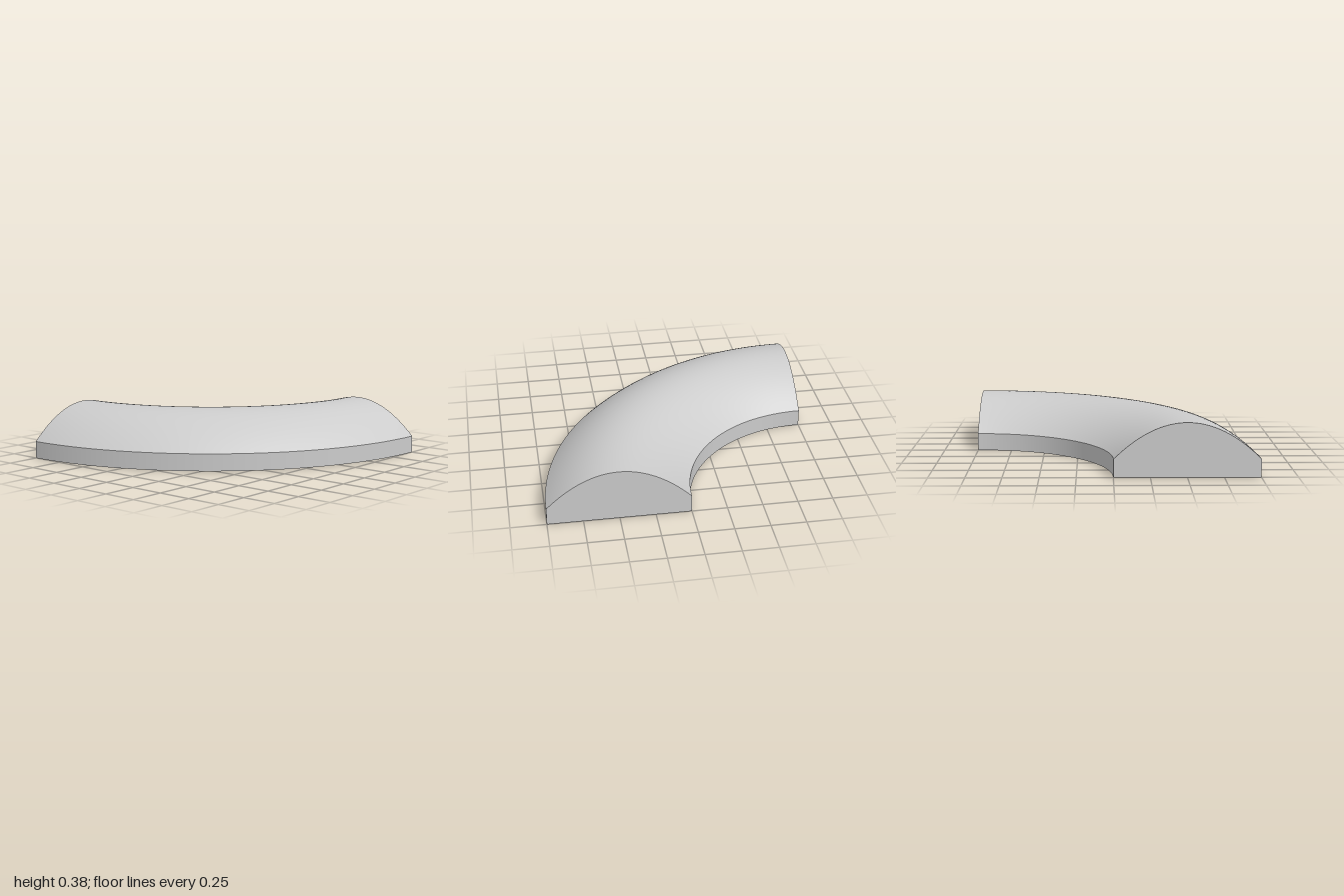
import * as THREE from 'three';

const INNER = 1, OUTER = 2, EDGE = 0.125, RISE = 0.25;
const ARC_SEGMENTS = 64, PROFILE_SEGMENTS = 32;

export function createModel() {
  const group = new THREE.Group();
  group.name = 'curvedRail';
  const material = new THREE.MeshStandardMaterial({ color: 0xcccccc });

  const add = (name, geometry) => {
    const mesh = new THREE.Mesh(geometry, material);
    mesh.name = name;
    group.add(mesh);
    return mesh;
  };

  // Parabolic crown, running from the outer edge to the inner edge
  const crown = [];
  for (let i = 0; i <= PROFILE_SEGMENTS; i++) {
    const t = 1 - (2 * i) / PROFILE_SEGMENTS;
    crown.push(new THREE.Vector2(1.5 + t / 2, EDGE + RISE * (1 - t * t)));
  }
  const innerBase = new THREE.Vector2(INNER, 0);
  const outerBase = new THREE.Vector2(OUTER, 0);
  const innerEdge = new THREE.Vector2(INNER, EDGE);
  const outerEdge = new THREE.Vector2(OUTER, EDGE);

  // Quarter-turn sweeps, kept separate so the edges between them stay sharp
  const sweeps = {
    crownTop: crown,
    outerWall: [outerBase, outerEdge],
    innerWall: [innerEdge, innerBase],
    underside: [innerBase, outerBase],
  };
  for (const [name, points] of Object.entries(sweeps)) {
    add(name, new THREE.LatheGeometry(points, ARC_SEGMENTS, 0, Math.PI / 2));
  }

  // Flat end faces cut from the same symmetric profile
  const endGeometry = new THREE.ShapeGeometry(new THREE.Shape([innerBase, outerBase, ...crown]));
  add('leftwardEndFace', endGeometry).rotation.y = -Math.PI / 2;
  const rearEnd = add('rearEndFace', endGeometry);
  rearEnd.rotation.y = Math.PI;
  rearEnd.position.x = INNER + OUTER;

  // Move the centre of the bend to the back corner
  for (const mesh of group.children) mesh.position.add(new THREE.Vector3(-1, 0, -1));
  return group;
}
